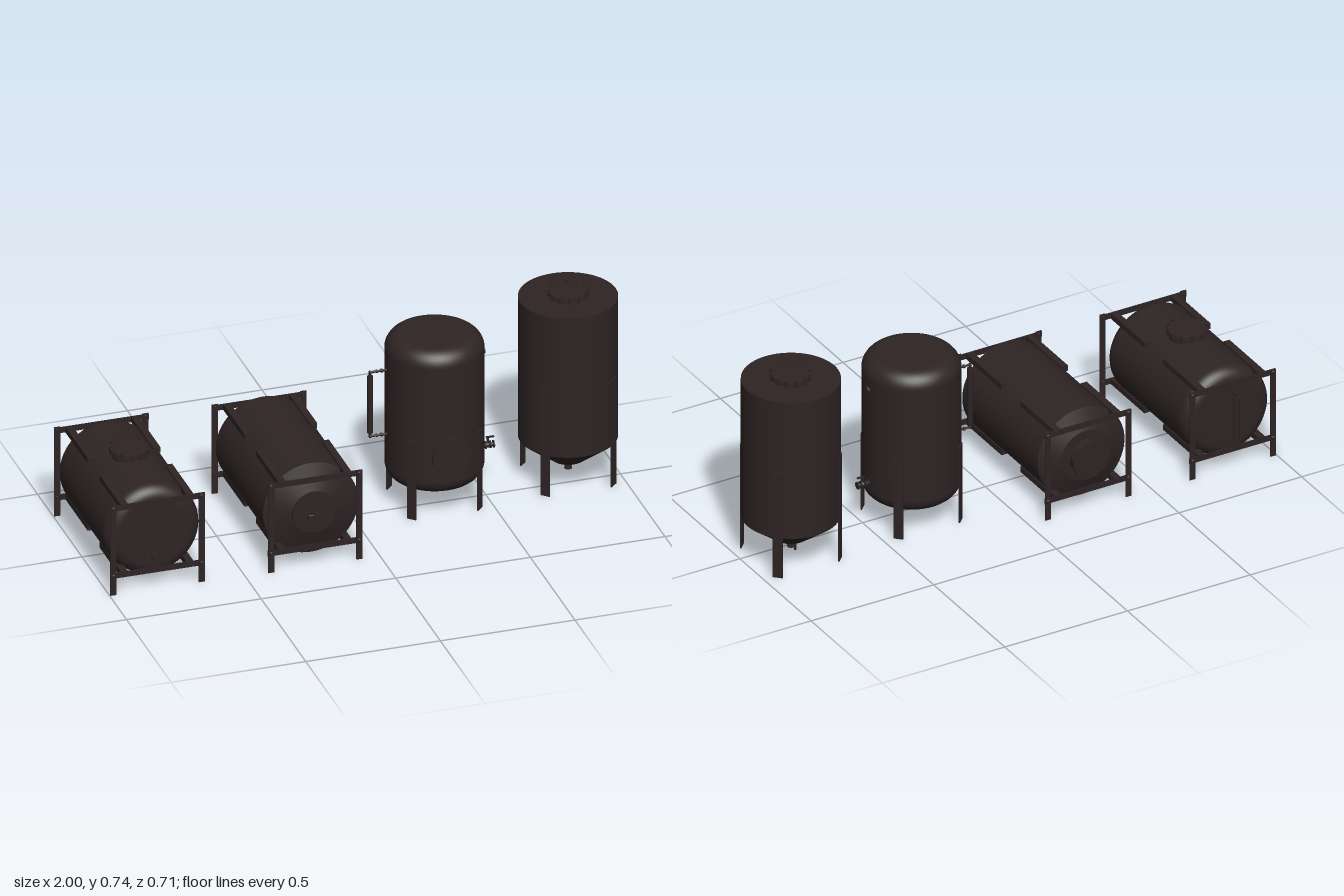
import * as THREE from 'three';

const metal = new THREE.MeshStandardMaterial({ color: 0x2e2424 });
metal.name = 'dark brown steel';
const R = 0.177;

function add(parent, geo, name, x = 0, y = 0, z = 0) {
  const m = new THREE.Mesh(geo, metal);
  m.name = name;
  m.position.set(x, y, z);
  parent.add(m);
  return m;
}
function group(parent, name, x = 0, y = 0, z = 0) {
  const g = new THREE.Group();
  g.name = name;
  g.position.set(x, y, z);
  parent.add(g);
  return g;
}
const box = (p, n, w, h, d, x, y, z) => add(p, new THREE.BoxGeometry(w, h, d), n, x, y, z);
const rod = (p, n, r, h, x, y, z, s = 16) => add(p, new THREE.CylinderGeometry(r, r, h, s), n, x, y, z);

// Lathe with crisp corners: inner points are doubled
function crisp(pts) {
  const out = [];
  pts.forEach(([r, y], i) => {
    out.push(new THREE.Vector2(r, y));
    if (i > 0 && i < pts.length - 1) out.push(new THREE.Vector2(r, y));
  });
  return new THREE.LatheGeometry(out, 64);
}

// Closed shell with rounded ends, along y
function roundedShell(h, f) {
  const pts = [new THREE.Vector2(0, -h / 2)];
  for (const end of [-1, 1])
    for (let i = 0; i <= 8; i++) {
      const a = (end < 0 ? i / 8 - 1 : i / 8) * Math.PI / 2;
      pts.push(new THREE.Vector2(R - f + f * Math.cos(a), end * (h / 2 - f) + f * Math.sin(a)));
    }
  pts.push(new THREE.Vector2(0, h / 2));
  return new THREE.LatheGeometry(pts, 64);
}

// Bolted access hatch rising along +y; the neck can extend down into a shell
function hatch(parent, x, y, z, neck, sink = 0.03) {
  const g = group(parent, 'hatch', x, y, z);
  add(g, crisp([[0, -sink], [0.064, -sink], [0.064, neck], [0.071, neck], [0.071, neck + 0.006],
    [0.068, neck + 0.006], [0.068, neck + 0.008], [0.071, neck + 0.008], [0.071, neck + 0.014],
    [0, neck + 0.014]]), 'hatchNeckAndLid');
  for (let i = 0; i < 12; i++) {
    const a = (i + 0.5) / 12 * Math.PI * 2;
    rod(g, 'hatchBolt', 0.0045, 0.025, 0.069 * Math.cos(a), neck + 0.007, 0.069 * Math.sin(a), 6);
  }
  return g;
}

// Drain valve pointing along +y, with a lever on one side
function valve(parent, x, y, z, len = 0.045) {
  const g = group(parent, 'valve', x, y, z);
  rod(g, 'valvePipe', 0.007, len, 0, len / 2, 0);
  for (const t of [0.15, 0.35, 0.7, 0.95]) rod(g, 'valveFlange', 0.014, 0.004, 0, len * t, 0);
  add(g, new THREE.SphereGeometry(0.011, 16, 12), 'valveBody', 0, len * 0.52, 0);
  rod(g, 'valveStem', 0.004, 0.03, 0, len * 0.52, 0.015, 8).rotation.x = Math.PI / 2;
  box(g, 'valveLever', 0.008, 0.03, 0.004, 0, len * 0.52 + 0.008, 0.03);
  return g;
}

// Level gauge: a glass tube held out along +x by two pipes
function gauge(parent, x, y, z, h, reach) {
  const g = group(parent, 'levelGauge', x, y, z);
  for (const s of [-1, 1]) {
    const yy = s * h / 2;
    rod(g, 'gaugePipe', 0.004, reach + 0.03, reach / 2 - 0.015, yy, 0).rotation.z = Math.PI / 2;
    for (const t of [0.3, 0.6, 1])
      rod(g, 'gaugeFitting', 0.007, 0.006, reach * t, yy, 0, 8).rotation.z = Math.PI / 2;
    rod(g, 'gaugeEnd', 0.005, 0.02, reach, yy - s * 0.008, 0);
  }
  rod(g, 'gaugeTube', 0.0105, h - 0.03, reach, 0, 0);
  return g;
}

// End frame with legs, cross bars, corner bolts and rails along the shell
function frame(parent, zFront, zBack) {
  const g = group(parent, 'frame');
  for (const z of [zFront, zBack]) {
    const s = Math.sign(z);
    for (const x of [-1, 1]) box(g, 'frameLeg', 0.023, 0.354, 0.004, x * 0.164, 0.177, z);
    for (const y of [0.342, 0.075]) {
      box(g, 'crossBar', 0.35, 0.022, 0.004, 0, y, z - s * 0.004);
      for (const x of [-1, 1]) {
        const rail = Math.abs(z) - 0.07;
        box(g, 'sideRail', 0.026, 0.022, rail, x * 0.122, y, z - s * (rail / 2 + 0.004));
        const b = rod(g, 'frameBolt', 0.006, 0.018, x * 0.164, y, z, 8);
        b.rotation.x = Math.PI / 2;
        add(g, new THREE.SphereGeometry(0.009, 10, 8), 'boltHead', x * 0.164, y, z);
      }
    }
  }
}

// Four plate legs set tangentially around an upright tank
function legs(parent, h) {
  for (let i = 0; i < 4; i++) {
    const a = Math.PI / 4 + i * Math.PI / 2;
    const leg = box(parent, 'leg', 0.036, h, 0.005, 0.179 * Math.sin(a), h / 2, 0.179 * Math.cos(a));
    leg.rotation.y = a;
  }
}

export function createModel() {
  const model = new THREE.Group();
  model.name = 'storageTanks';
  const Q = Math.PI / 2;

  // Horizontal tank with rounded ends
  const a = group(model, 'roundedHorizontalTank', -0.822, 0, 0);
  add(a, roundedShell(0.57, 0.05), 'shell', 0, 0.207, -0.01).rotation.x = Q;
  hatch(a, 0, 0.385, 0, 0.008, 0.04);
  frame(a, 0.31, -0.323);
  valve(a, 0, 0.115, 0.272, 0.038).rotation.x = Q;
  rod(a, 'frontPort', 0.013, 0.01, 0, 0.3, 0.277).rotation.x = Q;
  gauge(a, 0, 0.21, -0.295, 0.21, 0.053).rotation.y = Q;

  // Horizontal tank with conical ends
  const b = group(model, 'conicalHorizontalTank', -0.24, 0, 0);
  const shell = add(b, crisp([[0, -0.292], [0.1, -0.292], [R, -0.26], [R, 0.27], [0.08, 0.303],
    [0.08, 0.31], [0, 0.31]]), 'shell', 0, 0.207, 0);
  shell.rotation.x = Q;
  frame(b, 0.322, -0.31);
  hatch(b, 0, 0.207, -0.292, 0.026).rotation.x = -Q;
  const bv = valve(b, 0, 0.207, 0.308, 0.048);
  bv.rotation.set(Q, 0, Q, 'YZX');
  bv.rotation.set(Q, -Q, 0, 'XYZ');

  // Upright tank with rounded ends
  const c = group(model, 'roundedUprightTank', 0.32, 0, -0.033);
  add(c, roundedShell(0.567, 0.06), 'shell', 0, 0.379, 0);
  legs(c, 0.31);
  hatch(c, 0, 0.26, R, 0.008, 0.05).rotation.x = Q;
  gauge(c, -R, 0.413, 0, 0.255, 0.062).rotation.y = Math.PI;
  const cv = group(c, 'sideValve', R - 0.005, 0.18, 0);
  cv.rotation.set(-Q, 0, 0);
  valve(cv, 0, 0, 0, 0.05).rotation.z = -Q;
  rod(c, 'sidePort', 0.014, 0.016, R, 0.56, 0).rotation.z = Q;

  // Upright tank with a conical base
  const d = group(model, 'conicalUprightTank', 0.823, 0, -0.053);
  add(d, crisp([[0, 0.07], [0.06, 0.07], [R, 0.16], [R, 0.714], [0, 0.714]]), 'shell');
  legs(d, 0.426);
  hatch(d, 0, 0.714, 0, 0.006, 0.01);
  valve(d, 0, 0.075, 0, 0.048).rotation.x = Math.PI;

  return model;
}
